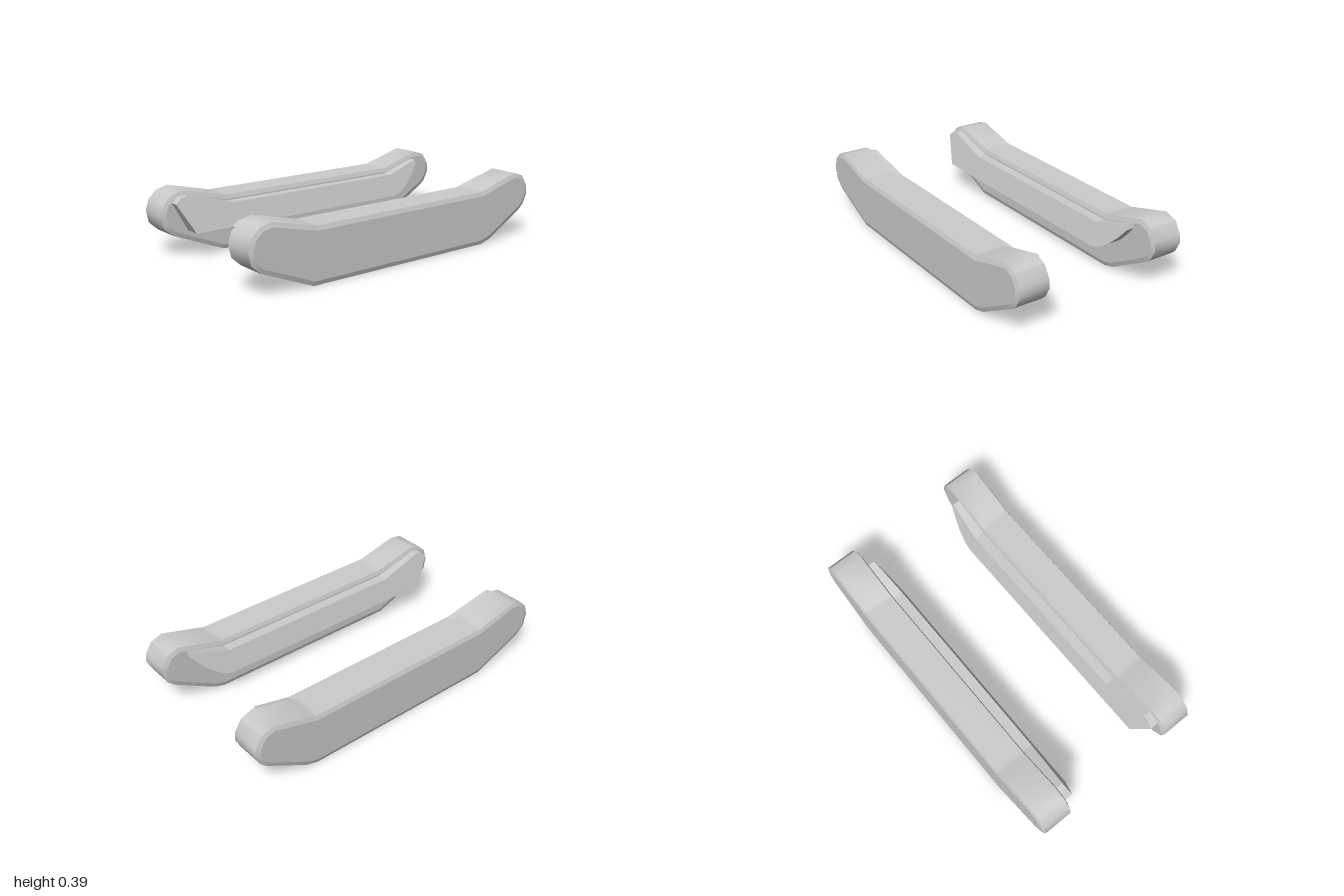
import * as THREE from 'three';
import { mergeGeometries, toCreasedNormals } from 'three/addons/utils/BufferGeometryUtils.js';

const material = new THREE.MeshStandardMaterial({ color: 0xcccccc });

// Side outlines in x, y (counter-clockwise)
const trackOutline = [
  [-0.61, 0], [-0.59, 0], [0.59, 0], [0.61, 0], [0.68, 0.02], [0.93, 0.16], [0.965, 0.19], [0.995, 0.25],
  [0.99, 0.3], [0.95, 0.365], [0.88, 0.39], [0.63, 0.321], [0.61, 0.315], [0.59, 0.315],
  [-0.57, 0.315], [-0.59, 0.315], [-0.61, 0.32], [-0.86, 0.38], [-0.93, 0.363], [-0.98, 0.315],
  [-1, 0.25], [-0.985, 0.18], [-0.93, 0.13], [-0.63, 0.008],
];
const fenderOutline = [
  [-0.84, 0.15], [0.61, 0.15], [0.66, 0.163], [0.73, 0.21], [0.79, 0.27], [0.835, 0.325],
  [0.83, 0.35], [0.6, 0.282], [-0.58, 0.282], [-0.86, 0.355], [-0.9, 0.35], [-0.935, 0.32],
];

const toShape = (points) => new THREE.Shape(points.map(([x, y]) => new THREE.Vector2(x, y)));

// Solid with chamfered rims: flat caps, walls smoothed around the ends
function trackGeometry() {
  const chamfer = 0.009;
  const solid = new THREE.ExtrudeGeometry(toShape(trackOutline), {
    depth: 0.195 - 2 * chamfer, bevelEnabled: true, bevelSegments: 1,
    bevelThickness: chamfer, bevelSize: 0.025, bevelOffset: -0.025,
  });
  const position = solid.getAttribute('position').array;
  const parts = solid.groups.map(({ start, count }) => {
    const part = new THREE.BufferGeometry();
    part.setAttribute('position', new THREE.BufferAttribute(position.slice(start * 3, (start + count) * 3), 3));
    part.computeVertexNormals();
    return toCreasedNormals(part, 0.65);
  });
  return mergeGeometries(parts).translate(0, 0, 0.335 + chamfer);
}

// Prism whose inner face leans outward towards the top
function fenderGeometry() {
  const prism = new THREE.ExtrudeGeometry(toShape(fenderOutline), { depth: 1, bevelEnabled: false });
  const p = prism.getAttribute('position');
  for (let i = 0; i < p.count; i++) {
    const inner = 0.24 + (p.getY(i) - 0.15) * 0.268;
    p.setZ(i, p.getZ(i) < 0.5 ? inner : 0.34);
  }
  prism.computeVertexNormals();
  return prism;
}

// Mirror in z, reversing the corners so faces still point outward
function mirrored(geometry) {
  const copy = geometry.clone().scale(1, 1, -1);
  for (const name of ['position', 'normal']) {
    const a = copy.getAttribute(name);
    for (let i = 0; i < a.count; i += 3) {
      const b = [a.getX(i + 1), a.getY(i + 1), a.getZ(i + 1)];
      a.setXYZ(i + 1, a.getX(i + 2), a.getY(i + 2), a.getZ(i + 2));
      a.setXYZ(i + 2, ...b);
    }
  }
  copy.computeVertexNormals();
  return toCreasedNormals(copy, name_crease);
}
const name_crease = 0.3;

export function createModel() {
  const model = new THREE.Group();
  model.name = 'trackPair';
  const add = (parent, name, geometry) => {
    const mesh = new THREE.Mesh(geometry, material);
    mesh.name = name;
    parent.add(mesh);
  };
  const track = trackGeometry();
  const fender = fenderGeometry();

  const front = new THREE.Group();
  front.name = 'frontTrack';
  add(front, 'track', track);
  add(front, 'fender', fender);

  // The rear pair is the front pair reflected in z
  const back = front.clone();
  back.name = 'backTrack';
  back.scale.z = -1;
  model.add(front, back);
  return model;
}
